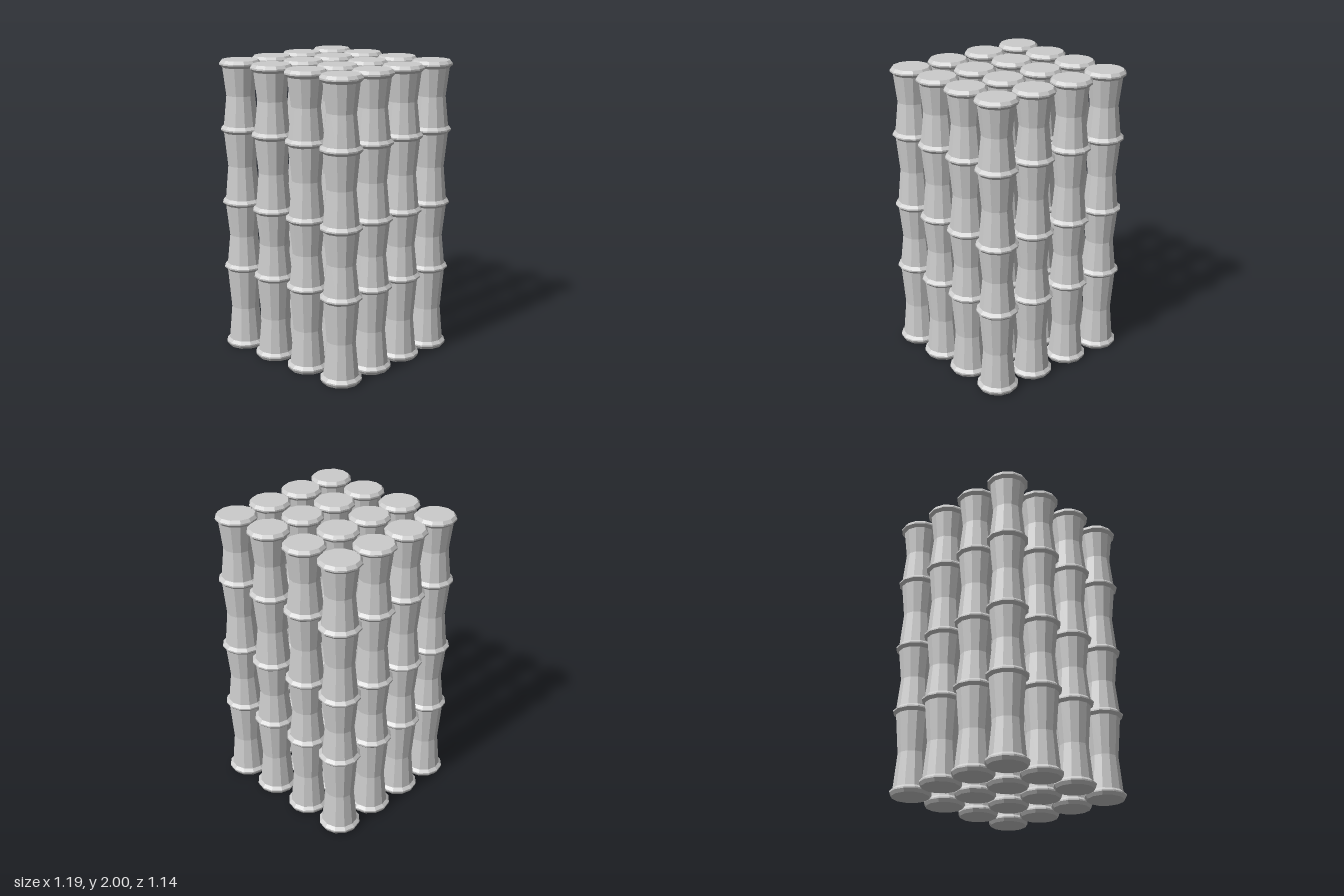
import * as THREE from 'three';

export function createModel() {
  const group = new THREE.Group();
  group.name = 'bambooBundle';
  const material = new THREE.MeshStandardMaterial({ color: 0xcccccc, flatShading: true });

  // Stalk profile: flared node rings with waisted segments between them
  const nodes = [0.027, 0.58, 1.04, 1.54, 1.975];
  const waists = [0.285, 0.805, 1.29, 1.765];
  const last = nodes.length - 1;
  const points = [[0, 0]];
  nodes.forEach((y, i) => {
    points.push(i === 0 ? [0.124, 0] : [0.118, y - 0.024]);
    points.push([0.138, y - 0.005], [0.138, y + 0.005]);
    points.push(i === last ? [0.122, 2] : [0.118, y + 0.024]);
    if (i < last) points.push([0.096, waists[i]]);
  });
  points.push([0, 2]);
  const stalk = new THREE.LatheGeometry(points.map(([r, y]) => new THREE.Vector2(r, y)), 12);

  // Four rows of four stalks; the back row sits slightly off the grid
  const columns = [-0.461, -0.158, 0.153, 0.457];
  const backColumns = [-0.452, -0.154, 0.159, 0.457];
  [-0.434, -0.142, 0.146, 0.431].forEach((z, row) => {
    (row === 0 ? backColumns : columns).forEach((x, col) => {
      const mesh = new THREE.Mesh(stalk, material);
      mesh.name = `stalkRow${row + 1}Column${col + 1}`;
      mesh.position.set(x, 0, z);
      group.add(mesh);
    });
  });
  return group;
}
